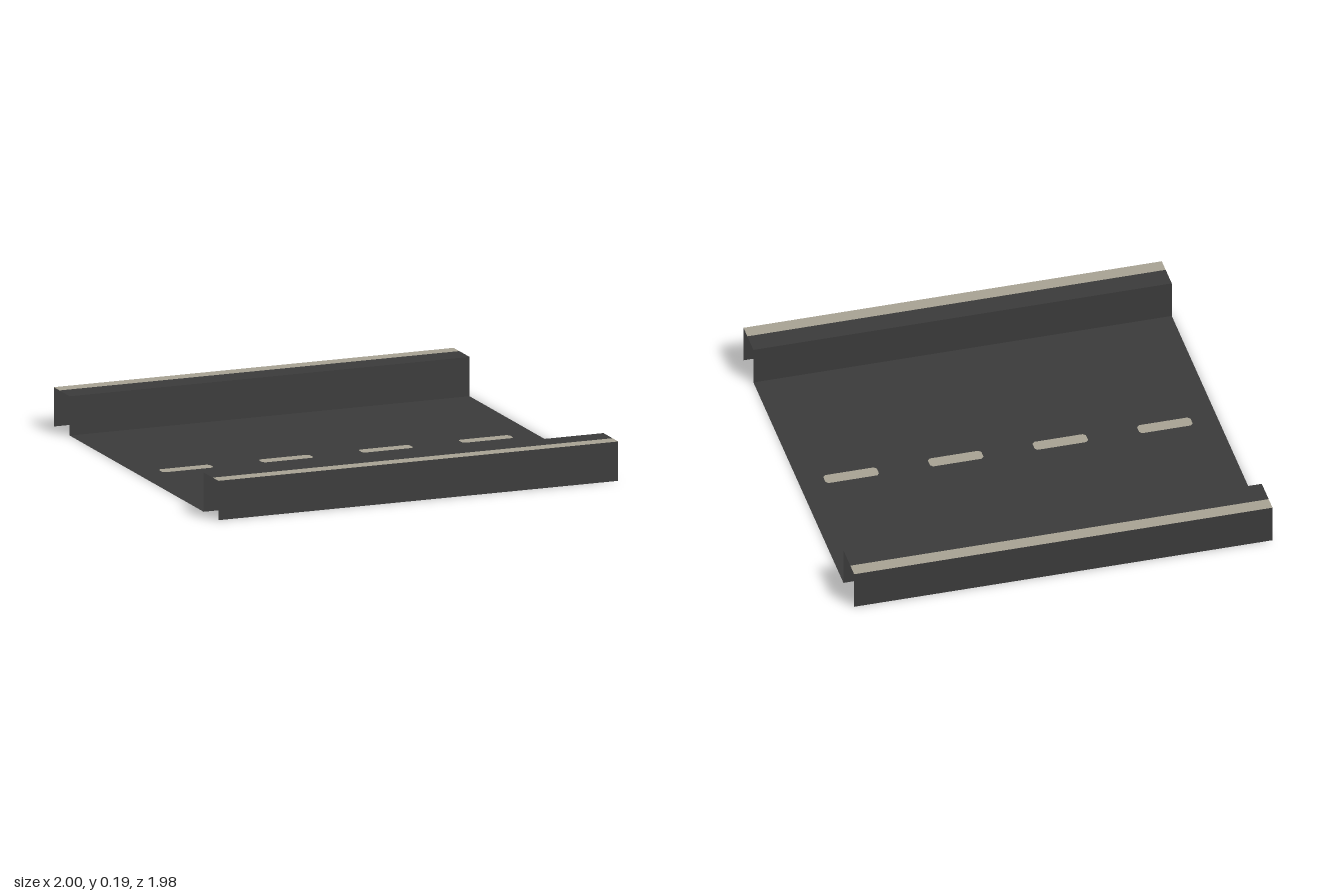
import * as THREE from 'three';

const HEIGHT = 0.187;
const OUTER = 0.99;   // outer face of both kerbs
const STRIPE = 0.921; // inner edge of the pale stripe
const DASH_X = [-0.75, -0.25, 0.25, 0.75];

export function createModel() {
  const asphalt = new THREE.MeshStandardMaterial({ color: 0x3c3c3c, side: THREE.DoubleSide });
  asphalt.name = 'asphalt';
  const paint = new THREE.MeshStandardMaterial({ color: 0xaaa596, side: THREE.DoubleSide });
  paint.name = 'pale paint';

  const model = new THREE.Group();
  model.name = 'roadSection';

  const add = (parent, name, geometry, material) => {
    const mesh = new THREE.Mesh(geometry, material);
    mesh.name = name;
    parent.add(mesh);
    return mesh;
  };

  // Horizontal sheet spanning the full length between two z positions
  const flat = (parent, name, z0, z1, y, material) => {
    const g = new THREE.PlaneGeometry(2, Math.abs(z1 - z0)).rotateX(-Math.PI / 2);
    add(parent, name, g, material).position.set(0, y, (z0 + z1) / 2);
  };

  // Upright sheet facing the given z direction
  const wall = (parent, name, z, facing) => {
    const g = new THREE.PlaneGeometry(2, HEIGHT);
    if (facing < 0) g.rotateY(Math.PI);
    add(parent, name, g, asphalt).position.set(0, HEIGHT / 2, z);
  };

  // Lane dash outline with clipped corners
  const dashPoints = (cx) => {
    const a = 0.128, b = 0.032, c = 0.012;
    return [[-a, -b + c], [-a + c, -b], [a - c, -b], [a, -b + c],
      [a, b - c], [a - c, b], [-a + c, b], [-a, b - c]]
      .map(([x, y]) => new THREE.Vector2(cx + x, y));
  };

  // Road deck, cut out where the dashes are inlaid
  const backZ = -0.798, frontZ = 0.812;
  const deck = new THREE.Shape([
    new THREE.Vector2(-1, -frontZ), new THREE.Vector2(1, -frontZ),
    new THREE.Vector2(1, -backZ), new THREE.Vector2(-1, -backZ)]);
  deck.holes = DASH_X.map((x) => new THREE.Path(dashPoints(x)));
  add(model, 'roadDeck', new THREE.ShapeGeometry(deck).rotateX(-Math.PI / 2), asphalt);

  // Centre line
  const centreLine = new THREE.Group();
  centreLine.name = 'centreLine';
  model.add(centreLine);
  for (const x of DASH_X) {
    const g = new THREE.ShapeGeometry(new THREE.Shape(dashPoints(x))).rotateX(-Math.PI / 2);
    add(centreLine, 'laneDash', g, paint);
  }

  // Hollow kerbs: inner wall, ledge, painted stripe and outer wall
  for (const [name, side, inner] of [['backKerb', -1, backZ], ['frontKerb', 1, frontZ]]) {
    const kerb = new THREE.Group();
    kerb.name = name;
    model.add(kerb);
    wall(kerb, 'innerWall', inner, -side);
    flat(kerb, 'ledge', inner, side * STRIPE, HEIGHT, asphalt);
    flat(kerb, 'edgeStripe', side * STRIPE, side * OUTER, HEIGHT, paint);
    wall(kerb, 'outerWall', side * OUTER, side);
  }

  return model;
}
